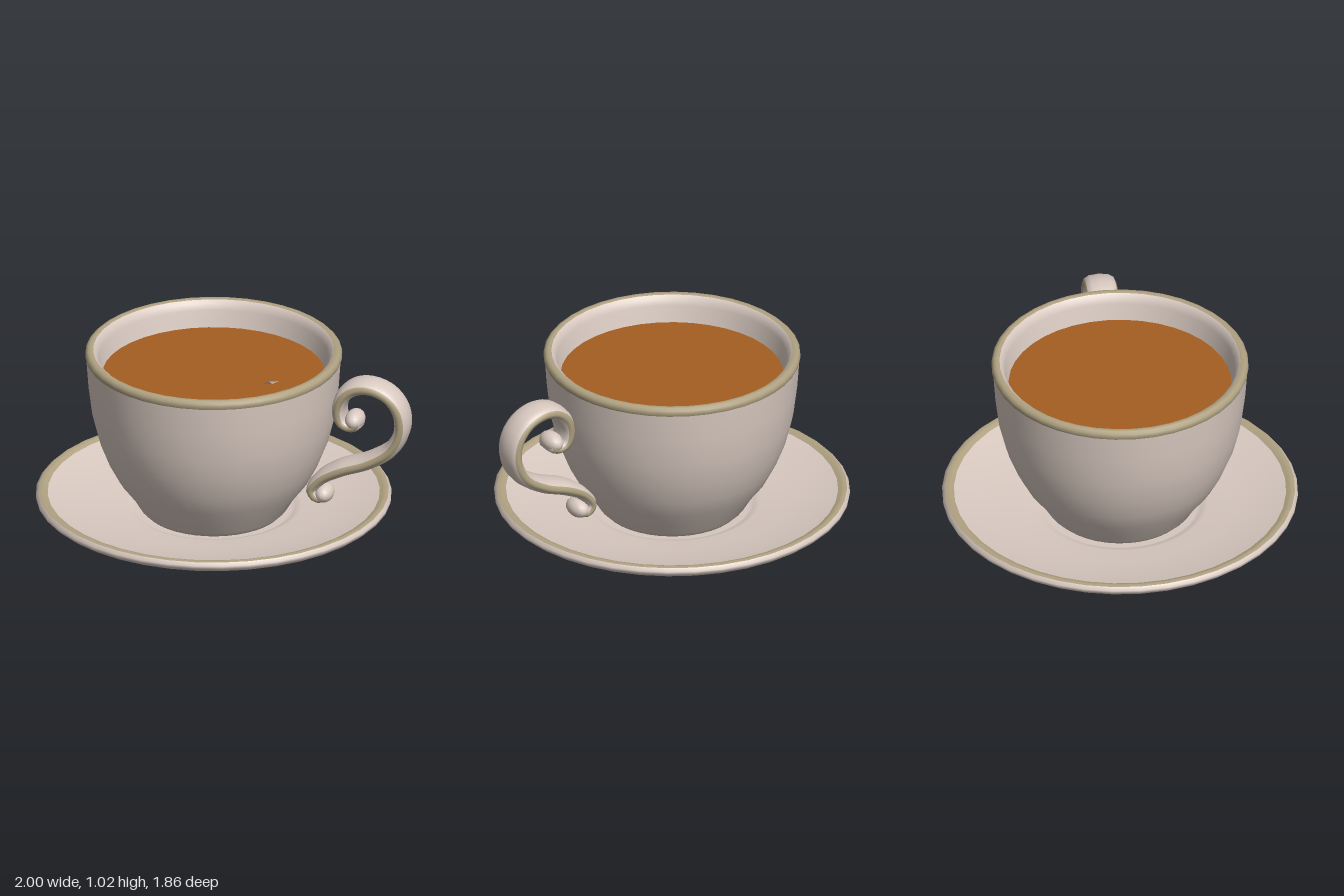
import * as THREE from 'three';

const mat = (name, color) => {
  const m = new THREE.MeshStandardMaterial({ color });
  m.name = name;
  return m;
};

export function createModel() {
  const porcelain = mat('porcelain', 0xd9cac1);
  const gold = mat('dull gold trim', 0xb0a282);
  const tea = mat('tea', 0xa55e20);
  const model = new THREE.Group();
  model.name = 'teacupAndSaucer';

  const add = (parent, name, geometry, material) => {
    const mesh = new THREE.Mesh(geometry, material);
    mesh.name = name;
    parent.add(mesh);
    return mesh;
  };
  const lathe = (parent, name, points, material) =>
    add(parent, name, new THREE.LatheGeometry(points.map(p => new THREE.Vector2(...p)), 40), material);

  // Saucer: underside and lip, gold band, then the dished top
  const saucer = new THREE.Group();
  saucer.name = 'saucer';
  saucer.position.x = -0.07;
  model.add(saucer);
  lathe(saucer, 'saucerUnderside', [[0, 0.006], [0.32, 0.003], [0.34, 0.006], [0.42, 0.024], [0.46, 0.045],
    [0.6, 0.066], [0.72, 0.09], [0.83, 0.125], [0.905, 0.16], [0.928, 0.18], [0.93, 0.197], [0.915, 0.213]], porcelain);
  lathe(saucer, 'saucerTrim', [[0.915, 0.213], [0.9, 0.217], [0.885, 0.213], [0.868, 0.205]], gold);
  lathe(saucer, 'saucerTop', [[0.868, 0.205], [0.75, 0.175], [0.6, 0.15], [0.46, 0.135], [0.43, 0.127],
    [0.4, 0.11], [0, 0.1]], porcelain);

  // Cup: outer wall, gold rim, inner wall
  const cup = new THREE.Group();
  cup.name = 'cup';
  cup.position.x = -0.07;
  model.add(cup);
  lathe(cup, 'cupOuterWall', [[0, 0.105], [0.36, 0.11], [0.39, 0.14], [0.435, 0.215], [0.5, 0.3], [0.553, 0.4],
    [0.6, 0.52], [0.635, 0.66], [0.655, 0.82], [0.666, 0.975]], porcelain);
  lathe(cup, 'cupRimTrim', [[0.666, 0.975], [0.672, 0.99], [0.67, 1.008], [0.658, 1.02], [0.643, 1.022],
    [0.63, 1.018]], gold);
  lathe(cup, 'cupInnerWall', [[0.63, 1.018], [0.612, 1.003], [0.602, 0.97], [0.592, 0.92], [0.575, 0.85]], porcelain);
  const surface = add(cup, 'teaSurface', new THREE.CircleGeometry(0.583, 40), tea);
  surface.rotation.x = -Math.PI / 2;
  surface.position.y = 0.88;

  // Floating petal: low pointed dome with a small curl beside it
  const petal = (name, outline, apex) => {
    const corners = [];
    outline.forEach(([x, z], i) => {
      const [x2, z2] = outline[(i + 1) % outline.length];
      corners.push(...apex, x2, 0.882, z2, x, 0.882, z);
    });
    const g = new THREE.BufferGeometry();
    g.setAttribute('position', new THREE.Float32BufferAttribute(corners, 3));
    g.computeVertexNormals();
    add(model, name, g, porcelain);
  };
  petal('petal', [[0.225, -0.175], [0.265, -0.13], [0.272, -0.03], [0.25, 0.05], [0.23, 0.12], [0.165, 0.115],
    [0.045, 0.04], [0.045, -0.01], [0.08, -0.08], [0.13, -0.14]].reverse(), [0.18, 0.92, -0.03]);
  petal('petalCurl', [[0.285, 0.005], [0.302, 0.01], [0.3, 0.07], [0.25, 0.12], [0.19, 0.115], [0.2, 0.07],
    [0.26, 0.05]].reverse(), [0.25, 0.905, 0.075]);

  // Handle: flattened strip swept along a scroll, with gold along both side edges
  const handle = new THREE.Group();
  handle.name = 'handle';
  model.add(handle);
  const path = new THREE.CatmullRomCurve3([[0.7, 0.73], [0.717, 0.7], [0.68, 0.678], [0.63, 0.7], [0.613, 0.77],
    [0.64, 0.85], [0.7, 0.9], [0.78, 0.913], [0.875, 0.88], [0.94, 0.8], [0.953, 0.69], [0.9, 0.575], [0.78, 0.49],
    [0.62, 0.425], [0.515, 0.36], [0.468, 0.29], [0.5, 0.25], [0.54, 0.265]]
    .map(([x, y]) => new THREE.Vector3(x, y, 0)));
  const rings = 80, sides = 12, positions = [];
  for (let i = 0; i <= rings; i++) {
    const u = i / rings, p = path.getPointAt(u), t = path.getTangentAt(u);
    const full = Math.min(1, Math.min(u, 1 - u) / 0.2);
    const thick = 0.028 + 0.012 * full, wide = 0.068 + 0.017 * full;
    for (let j = 0; j < sides; j++) {
      const a = (j / sides) * Math.PI * 2;
      const n = Math.cos(a) * thick;
      const z = Math.sign(Math.sin(a)) * Math.abs(Math.sin(a)) ** 0.75 * wide;
      positions.push(p.x - t.y * n, p.y + t.x * n, z);
    }
  }
  const faces = [[], []];
  for (let j = 0; j < sides; j++) {
    const side = Math.abs(Math.sin(((j + 0.5) / sides) * Math.PI * 2)) > 0.9 ? 1 : 0;
    for (let i = 0; i < rings; i++) {
      const a = i * sides + j, b = i * sides + ((j + 1) % sides);
      faces[side].push(a, b, a + sides, b, b + sides, a + sides);
    }
  }
  const strip = new THREE.BufferGeometry();
  strip.setAttribute('position', new THREE.Float32BufferAttribute(positions, 3));
  strip.setIndex([...faces[0], ...faces[1]]);
  strip.addGroup(0, faces[0].length, 0);
  strip.addGroup(faces[0].length, faces[1].length, 1);
  strip.computeVertexNormals();
  add(handle, 'handleStrip', strip, [porcelain, gold]);

  // Rounded knobs at the ends of the scroll
  [['upperKnob', 0.695, 0.712, 0.052], ['lowerKnob', 0.53, 0.272, 0.05]].forEach(([name, x, y, r]) => {
    const knob = add(handle, name, new THREE.SphereGeometry(r, 16, 12), porcelain);
    knob.position.set(x, y, 0);
    knob.scale.z = 1.55;
  });

  return model;
}
